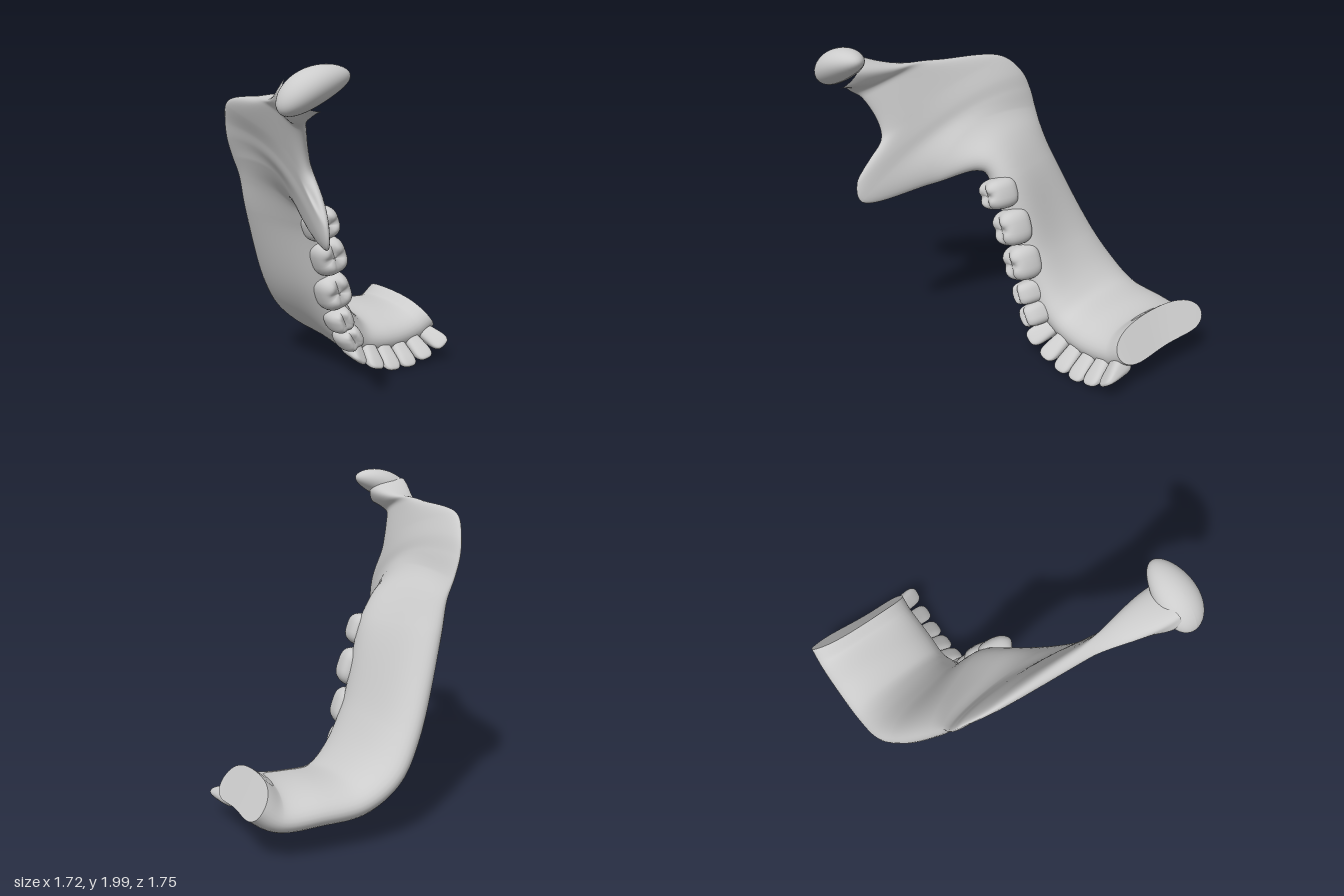
import * as THREE from 'three';

const material = new THREE.MeshStandardMaterial({ color: 0xcccccc, roughness: 0.7 });
const { smoothstep, lerp } = THREE.MathUtils;

// Three guide paths along the bone, from the cut at the chin to the condyle
const path = (points) => new THREE.CatmullRomCurve3(points.map((p) => new THREE.Vector3(...p)));
const lowerBorder = path([
  [0.8, 0.31, -0.86], [0.68, 0.235, -0.87], [0.45, 0.235, -0.875], [0.2, 0.26, -0.87], [0, 0.38, -0.85],
  [-0.14, 0.58, -0.78], [-0.37, 1.1, -0.61], [-0.43, 1.3, -0.57], [-0.48, 1.42, -0.57],
  [-0.52, 1.54, -0.56], [-0.55, 1.65, -0.52], [-0.6, 1.77, -0.39], [-0.64, 1.82, 0.1],
  [-0.66, 1.845, 0.38], [-0.67, 1.93, 0.68],
]);
const middle = path([
  [0.765, 0.32, -0.5], [0.66, 0.25, -0.45], [0.45, 0.24, -0.45], [0.23, 0.255, -0.45], [0.09, 0.35, -0.42],
  [-0.09, 0.6, -0.4], [-0.27, 1.1, -0.3], [-0.36, 1.3, -0.2], [-0.45, 1.4, 0.02],
  [-0.51, 1.46, 0.12], [-0.535, 1.52, 0.17], [-0.575, 1.61, 0.23], [-0.64, 1.76, 0.37],
  [-0.67, 1.79, 0.53], [-0.7, 1.86, 0.72],
]);
const upperBorder = path([
  [0.79, 0.25, -0.13], [0.67, 0.17, -0.14], [0.45, 0.135, -0.14], [0.25, 0.17, -0.14], [0.11, 0.27, -0.12],
  [-0.04, 0.6, -0.08], [-0.18, 1.08, 0], [-0.265, 1.18, 0.04], [-0.44, 1.11, 0.3],
  [-0.585, 1.055, 0.73], [-0.605, 1.18, 0.745], [-0.605, 1.43, 0.555], [-0.67, 1.67, 0.63],
  [-0.71, 1.72, 0.69], [-0.75, 1.79, 0.75],
]);

// Point on the middle sheet of the bone: a parabola through the three paths
function sheet(u, v) {
  const t = THREE.MathUtils.clamp(u, 0, 1);
  return lowerBorder.getPoint(t).multiplyScalar((1 - v) * (1 - 2 * v))
    .addScaledVector(middle.getPoint(t), 4 * v * (1 - v))
    .addScaledVector(upperBorder.getPoint(t), v * (2 * v - 1));
}

// Half thickness: stout body, thin ramus, flared neck, rounded at both borders
function halfThickness(u, v) {
  const s = u * 14;
  const plate = lerp(0.11 + 0.01 * v, 0.045, smoothstep(s, 4 + 1.5 * v, 8.4 + 0.8 * v));
  const round = Math.sqrt(Math.max(0, 1 - Math.abs(2 * v - 1) ** 4));
  return lerp(plate, 0.13, smoothstep(s, 12, 14)) * round;
}

// Closed oval sections swept along the paths, with a flat cut at the start
function jawBone() {
  const group = new THREE.Group();
  group.name = 'jawBone';
  const U = 168, N = 24, K = 2 * N, e = 0.01;
  const positions = [], index = [];
  for (let i = 0; i <= U; i++) {
    const u = i / U;
    for (let j = 0; j < K; j++) {
      const v = (1 - Math.cos((Math.PI * j) / N)) / 2;
      const du = sheet(u + e, v).sub(sheet(u - e, v));
      const dv = sheet(u, v + e).sub(sheet(u, v - e));
      const n = du.cross(dv).normalize();
      const offset = (j <= N ? 1 : -1) * halfThickness(u, v);
      positions.push(...sheet(u, v).addScaledVector(n, offset).toArray());
      if (i < U) {
        const a = i * K + j, b = i * K + ((j + 1) % K);
        index.push(a, a + K, b + K, a, b + K, b);
      }
    }
  }
  const addPart = (name, points, faces) => {
    const geo = new THREE.BufferGeometry();
    geo.setAttribute('position', new THREE.Float32BufferAttribute(points, 3));
    geo.setIndex(faces);
    geo.computeVertexNormals();
    const mesh = new THREE.Mesh(geo, material);
    mesh.name = name;
    group.add(mesh);
  };
  addPart('bodyAndRamus', positions, index);

  // Cut face closing the first section
  const capIndex = [];
  for (let j = 0; j < N; j++) {
    const c = K - j - 1, d = (K - j) % K;
    capIndex.push(j, j + 1, c, j, c, d);
  }
  addPart('cutFace', positions.slice(0, K * 3), capIndex);
  return group;
}

// Oblong joint head, tapering a little toward its inner end
function condyle() {
  const geo = new THREE.SphereGeometry(1, 40, 28);
  const p = geo.attributes.position;
  for (let i = 0; i < p.count; i++) {
    const x = p.getX(i), k = 1 - 0.12 * x;
    p.setXYZ(i, x * 0.22, p.getY(i) * 0.095 * k - 0.03 * x * x + 0.01, p.getZ(i) * 0.12 * k);
  }
  geo.computeVertexNormals();
  const head = new THREE.Mesh(geo, material);
  head.name = 'condyle';
  head.position.set(-0.685, 1.885, 0.755);
  head.rotation.z = 0.42;
  return head;
}

// Tooth crown: rounded block; cheek teeth get cusps and grooves, front teeth a thin edge
function tooth(name, kind, [x, y, top], [w, d, h], turn, lean) {
  const geo = new THREE.SphereGeometry(1, 36, 28);
  geo.rotateX(Math.PI / 2);
  const p = geo.attributes.position;
  const square = (a, power) => Math.sign(a) * Math.abs(a) ** power;
  for (let i = 0; i < p.count; i++) {
    let a = square(p.getX(i), 0.68), b = square(p.getY(i), 0.7), c = square(p.getZ(i), 0.55);
    if (kind === 'front') {
      b *= 1 - 0.36 * (c + 1);
      a *= 0.9 + 0.1 * c;
    } else if (c > 0) {
      const across = Math.abs(Math.sin(b * 3.2));
      const bumps = kind === 'molar' ? across * Math.abs(Math.sin(a * 3.2)) : across;
      const inside = Math.max(0, 1 - Math.max(a * a, b * b));
      c += 0.25 * c * (bumps - 0.9 * inside);
      a *= 1 - 0.1 * c;
      b *= 1 - 0.14 * c;
    }
    p.setXYZ(i, (a * w) / 2, (b * d) / 2, (c * h) / 2);
  }
  geo.computeVertexNormals();
  const mesh = new THREE.Mesh(geo, material);
  mesh.name = name;
  mesh.position.set(x, y, top - h / 2);
  mesh.rotation.set(lean, 0, turn, 'ZXY');
  return mesh;
}

function toothRow() {
  const teeth = new THREE.Group();
  teeth.name = 'teeth';
  // Molars, from the back
  [[-0.18, 1.045, 0.1], [-0.1, 0.83, 0.055], [-0.045, 0.595, 0.02]].forEach((at, i) =>
    teeth.add(tooth(`molar${3 - i}`, 'molar', at, [i ? 0.235 : 0.2, 0.215, 0.21], -1.23, 0.05)));
  // Premolars
  [[0.01, 0.4, 0], [0.08, 0.27, 0]].forEach((at, i) =>
    teeth.add(tooth(`premolar${2 - i}`, 'premolar', at, [0.155, 0.165, 0.2], -1.15 + 0.15 * i, 0.1)));
  // Canines and incisors spread along the front arch
  for (let i = 0; i < 6; i++) {
    const k = i - 2.5;
    const at = [0.453 + 0.125 * k, 0.076 + 0.0128 * k * k, 0.005];
    const name = i % 5 ? `incisor${i}` : i ? 'leftCanine' : 'rightCanine';
    teeth.add(tooth(name, 'front', at, [0.132, 0.15, 0.24], 0.1 * k + 0.025 * k ** 3, 0.5 - 0.027 * k * k));
  }
  return teeth;
}

export function createModel() {
  const model = new THREE.Group();
  model.name = 'halfJaw';
  model.add(jawBone(), condyle(), toothRow());
  return model;
}
